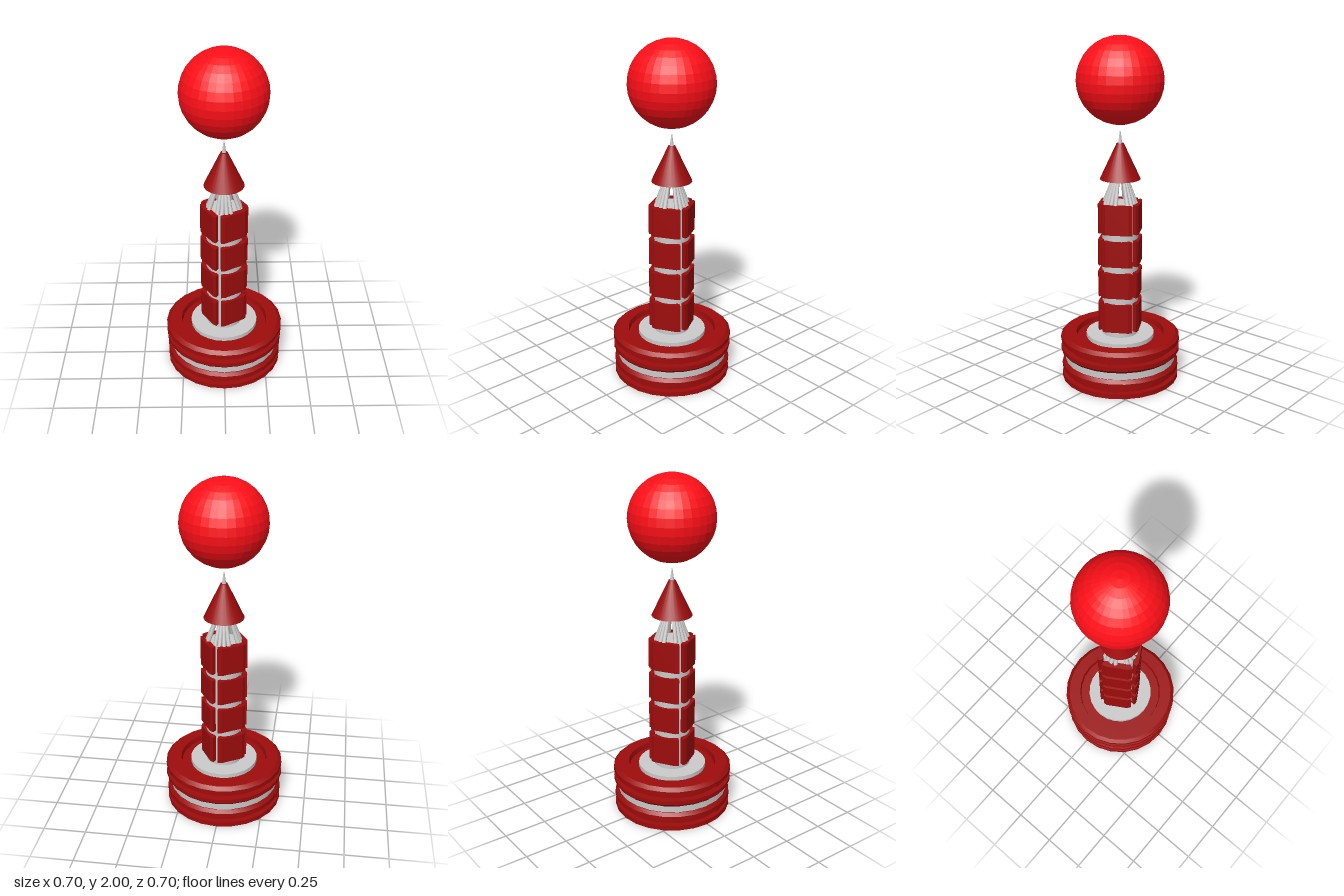
import * as THREE from 'three';
import { toCreasedNormals } from 'three/addons/utils/BufferGeometryUtils.js';

const material = (color, extra = {}) => new THREE.MeshStandardMaterial({ color, ...extra });
const darkRed = material(0x9e0c0c);
const darkRedThin = material(0x9e0c0c, { side: THREE.DoubleSide });
const brightRed = material(0xff0f18, { flatShading: true });
const grey = material(0xcccccc);
const rad = THREE.MathUtils.degToRad;

function mesh(name, geometry, mat, parent) {
  const m = new THREE.Mesh(geometry, mat);
  m.name = name;
  parent.add(m);
  return m;
}

// Closed [radius, height] profile, outer side listed upwards, turned about y
function turned(profile, start = 0, length = Math.PI * 2, segments = 24) {
  const pts = [...profile, profile[0]].map(([r, y]) => new THREE.Vector2(r, y));
  return toCreasedNormals(new THREE.LatheGeometry(pts, segments, start, length), rad(25));
}

function cylinder(name, rTop, rBottom, y0, y1, mat, parent, segments = 24, open = false) {
  const m = mesh(name, new THREE.CylinderGeometry(rTop, rBottom, y1 - y0, segments, 1, open), mat, parent);
  m.position.y = (y0 + y1) / 2;
  return m;
}

// Thin rod between two points
function rod(name, a, b, radius, parent) {
  const dir = b.clone().sub(a);
  const m = mesh(name, new THREE.CylinderGeometry(radius * 0.6, radius, dir.length(), 8), grey, parent);
  m.position.copy(a).add(b).multiplyScalar(0.5);
  m.quaternion.setFromUnitVectors(new THREE.Vector3(0, 1, 0), dir.normalize());
}

const polar = (r, y, angle) => new THREE.Vector3(r * Math.sin(angle), y, r * Math.cos(angle));

function createBase() {
  const base = new THREE.Group();
  base.name = 'base';

  // Hollow lower ring with a groove
  mesh('lowerRing', turned([
    [0.31, 0], [0.345, 0], [0.345, 0.028], [0.313, 0.028], [0.313, 0.062],
    [0.345, 0.062], [0.345, 0.09], [0.33, 0.11], [0.31, 0.11],
  ]), darkRed, base);

  // Grey band between the rings
  mesh('middleBand', turned([[0.305, 0.1], [0.326, 0.1], [0.326, 0.165], [0.305, 0.165]]), grey, base);

  // Upper ring with a groove and a recessed lid
  mesh('upperRing', turned([
    [0.31, 0.155], [0.335, 0.155], [0.351, 0.172], [0.351, 0.196], [0.313, 0.196], [0.313, 0.23],
    [0.351, 0.23], [0.351, 0.257], [0.33, 0.276], [0.26, 0.276], [0.255, 0.245],
    [0.18, 0.245], [0.18, 0.225], [0.31, 0.225],
  ]), darkRed, base);

  // Short posts dividing the grooves
  for (const [y0, y1] of [[0.028, 0.062], [0.196, 0.23]])
    for (const angle of [122, -68])
      mesh('groovePost', turned([[0.308, y0], [0.322, y0], [0.322, y1], [0.308, y1]],
        rad(angle - 5), rad(10), 2), darkRedThin, base);

  cylinder('lidDisc', 0.2, 0.2, 0.215, 0.27, grey, base);
  return base;
}

function createColumn() {
  const column = new THREE.Group();
  column.name = 'column';
  cylinder('shaft', 0.105, 0.105, 0.26, 1.06, grey, column);

  // Chamfered armour plate cross-section, facing outwards
  const plate = new THREE.Shape([
    [-0.066, 0.118], [-0.088, 0.108], [-0.075, 0.085], [0.075, 0.085], [0.088, 0.108], [0.066, 0.118],
  ].map(([u, n]) => new THREE.Vector2(u, -n)));

  // Four plates around the shaft at each level, with gaps at the corners
  for (const [y0, y1] of [[0.305, 0.475], [0.515, 0.665], [0.705, 0.855], [0.895, 1.065]]) {
    const geometry = new THREE.ExtrudeGeometry(plate, { depth: y1 - y0, bevelEnabled: false });
    geometry.rotateX(-Math.PI / 2);
    for (let i = 0; i < 4; i++) {
      const m = mesh('armourPlate', geometry, darkRed, column);
      m.position.y = y0;
      m.rotation.y = rad(31 + 90 * i);
    }
  }
  return column;
}

function createTip() {
  const tip = new THREE.Group();
  tip.name = 'tip';

  // Four clusters of struts leaning in under the cone
  for (let i = 0; i < 4; i++)
    for (const offset of [-24, -8, 8, 24]) {
      const angle = rad(90 * i + offset);
      rod('strut', polar(0.095, 1.055, angle), polar(0.02, 1.26, angle), 0.013, tip);
    }

  // Hollow cone with a thin spike
  cylinder('cone', 0.02, 0.116, 1.2, 1.405, darkRedThin, tip, 24, true);
  cylinder('coneCap', 0.02, 0.02, 1.4, 1.405, darkRed, tip);
  cylinder('spike', 0.002, 0.014, 1.39, 1.475, grey, tip, 12);
  return tip;
}

export function createModel() {
  const model = new THREE.Group();
  model.name = 'orbTower';
  model.add(createBase(), createColumn(), createTip());

  // Floating ball
  const orb = mesh('orb', new THREE.SphereGeometry(0.245, 32, 16), brightRed, model);
  orb.position.y = 1.755;
  return model;
}
